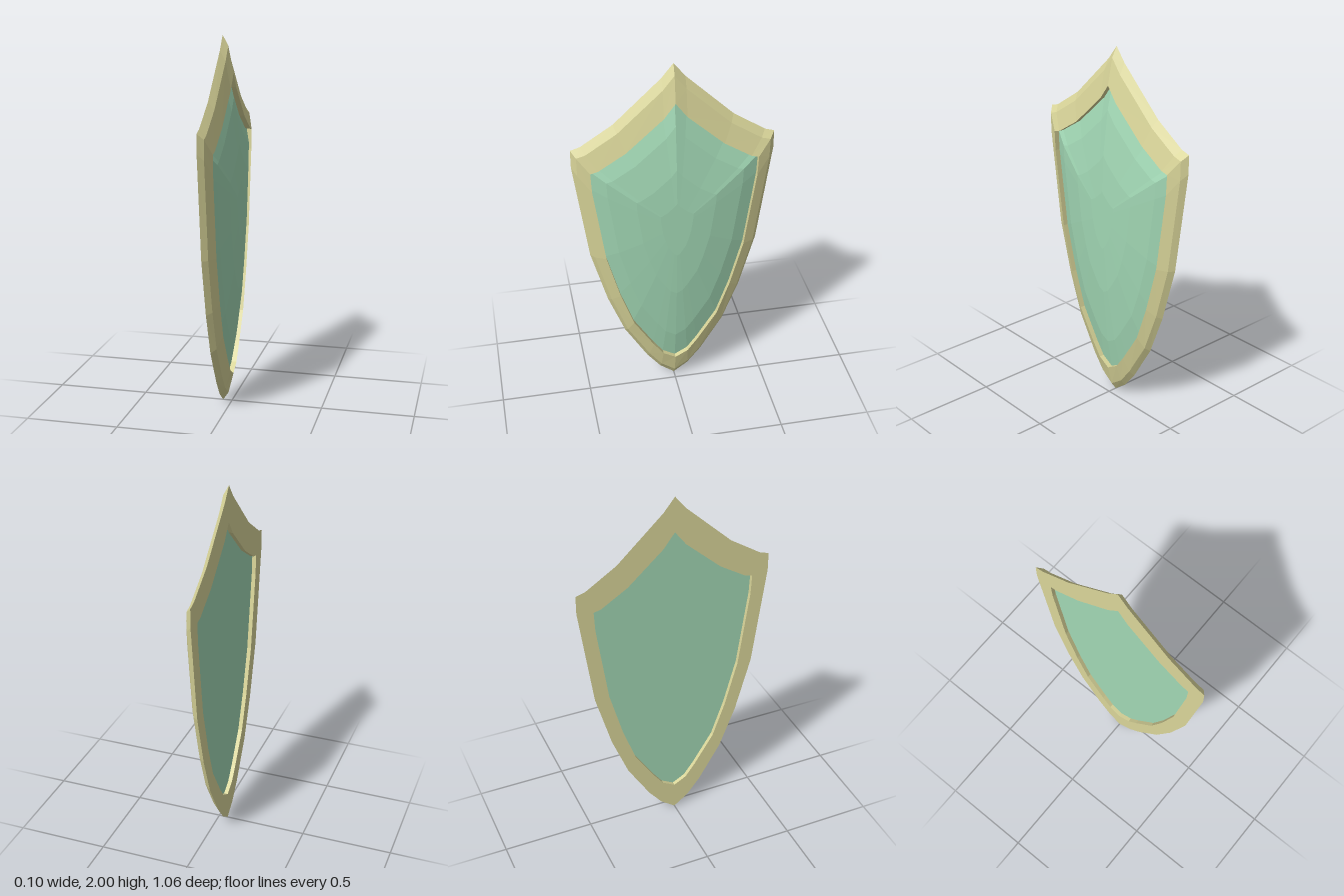
import * as THREE from 'three';

// Half outlines as [z, y], from the top point round to the bottom point
const OUTER = [[0, 2], [0.06, 1.925], [0.31, 1.69], [0.48, 1.58], [0.53, 1.565], [0.53, 1.465],
  [0.455, 0.91], [0.37, 0.6], [0.28, 0.365], [0.155, 0.155], [0.08, 0.06], [0, 0]];
const INNER = [[0, 1.805], [0.06, 1.725], [0.255, 1.55], [0.4, 1.46], [0.44, 1.45], [0.435, 1.34],
  [0.375, 0.91], [0.305, 0.65], [0.235, 0.45], [0.125, 0.275], [0.07, 0.2], [0, 0.16]];
const CENTRE_Y = 1.1;

// Close a half outline by mirroring it in z
const mirror = (half) => [...half, ...half.slice(1, -1).reverse().map(([z, y]) => [-z, y])];
const outer = mirror(OUTER);
const inner = mirror(INNER);

// Place an outline at depth x
const ring = (outline, x) => outline.map(([z, y]) => new THREE.Vector3(x, y, z));
const between = (t) => outer.map(([z, y], i) => [z + (inner[i][0] - z) * t, y + (inner[i][1] - y) * t]);
const shrink = (f) => inner.map(([z, y]) => [z * f, CENTRE_Y + (y - CENTRE_Y) * f]);

// Skin a series of rings with faceted quads
function loft(name, rings, color) {
  const pos = [];
  const tri = (a, b, c) => {
    if (a.equals(b) || b.equals(c) || a.equals(c)) return;
    pos.push(...a.toArray(), ...b.toArray(), ...c.toArray());
  };
  for (let i = 0; i < rings.length - 1; i++) {
    const r = rings[i], s = rings[i + 1], n = r.length;
    for (let j = 0; j < n; j++) {
      const k = (j + 1) % n;
      tri(r[j], r[k], s[k]);
      tri(r[j], s[k], s[j]);
    }
  }
  const geo = new THREE.BufferGeometry();
  geo.setAttribute('position', new THREE.Float32BufferAttribute(pos, 3));
  geo.computeVertexNormals();
  const mesh = new THREE.Mesh(geo, new THREE.MeshStandardMaterial({ color, flatShading: true }));
  mesh.name = name;
  return mesh;
}

export function createModel() {
  const shield = new THREE.Group();
  shield.name = 'shield';

  // Bevelled frame: flat back, steep outer bevel, sloping face, inner wall
  shield.add(loft('rim', [
    ring(inner, -0.05), ring(outer, -0.05), ring(between(0.28), -0.02),
    ring(inner, 0.008), ring(inner, -0.05),
  ], 0xdad69a));

  // Domed panel set into the frame, with a flat recessed back
  const profile = [[0, -0.028], [1, -0.028], [1, -0.02], [0.82, 0.01], [0.48, 0.04], [0.2, 0.05], [0, 0.05]];
  shield.add(loft('panel', profile.map(([f, x]) => ring(shrink(f), x)), 0xa2d8b5));

  return shield;
}
